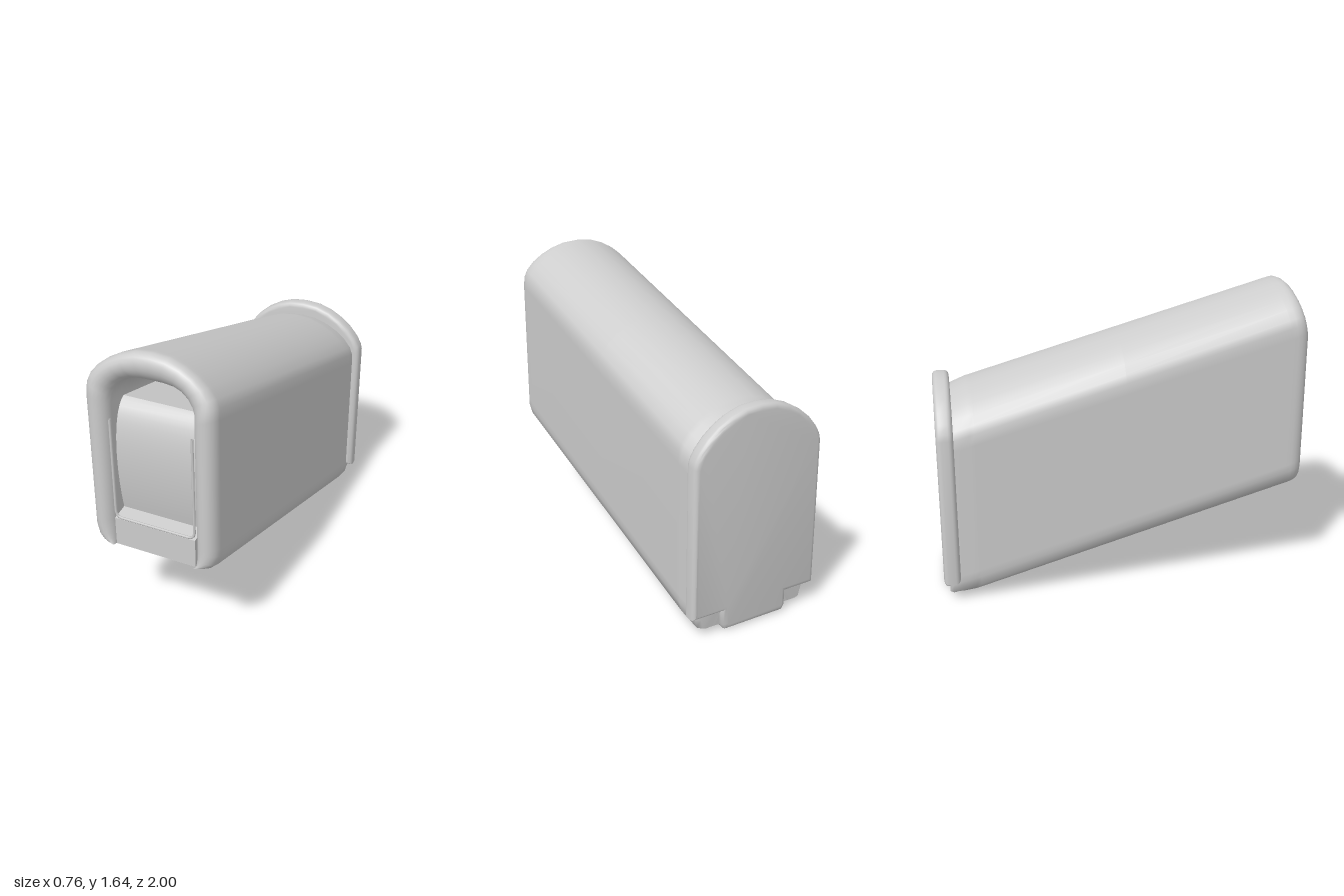
import * as THREE from 'three';
import { toCreasedNormals } from 'three/addons/utils/BufferGeometryUtils.js';

const SLOPE = 0.285;

// Skin rows of points; rows run back to front, points run counterclockwise seen from the front
function loft(rows) {
  const n = rows[0].length, index = [];
  for (let i = 0; i < rows.length - 1; i++) {
    for (let j = 0; j < n - 1; j++) {
      const a = i * n + j, b = a + 1, c = a + n, d = c + 1;
      index.push(a, b, c, b, d, c);
    }
  }
  const g = new THREE.BufferGeometry();
  g.setAttribute('position', new THREE.Float32BufferAttribute(rows.flat(2), 3));
  g.setIndex(index);
  g.computeVertexNormals();
  return g;
}

// Full outline from its right half (bottom to top centre)
const mirror = (half) => [...half, ...half.slice(0, -1).reverse().map(([x, y]) => [-x, y])];

export function createModel() {
  const model = new THREE.Group();
  const grey = new THREE.MeshStandardMaterial({ color: 0xcccccc, side: THREE.DoubleSide });
  const add = (name, geometry) => {
    const mesh = new THREE.Mesh(geometry, grey);
    mesh.name = name;
    model.add(mesh);
    return mesh;
  };

  // Outer and inner sections of the shell, before shearing along the slope
  const outer = mirror([[0.23, 0.265], [0.27, 0.267], [0.305, 0.277], [0.335, 0.305], [0.35, 0.36],
    [0.35, 0.4], [0.35, 1.12], [0.347, 1.18], [0.33, 1.223], [0.29, 1.272], [0.235, 1.316],
    [0.17, 1.352], [0.09, 1.38], [0, 1.388]]);
  const inner = mirror([[0.23, 0.265], [0.23, 0.28], [0.23, 0.3], [0.23, 0.33], [0.23, 0.37],
    [0.23, 0.41], [0.23, 1.08], [0.227, 1.12], [0.215, 1.155], [0.19, 1.19], [0.155, 1.217],
    [0.11, 1.233], [0.05, 1.238], [0, 1.238]]);
  const section = (z, t) => outer.map(([x, y], i) => {
    const [u, v] = inner[i];
    const lean = z > 0.8 ? Math.max(0, (y - 1.12) / 0.268) * 0.04 : 0;
    const zz = z - lean;
    return [x + (u - x) * t, Math.max(0.03, y + (v - y) * t + SLOPE * zz), zz];
  });

  // Shell: closed back, long sheared walls, rounded lip, then the inner wall
  const capRow = (n) => Array.from({ length: n }, () => [0, 0.5, -0.97]);
  const backRows = [[-0.97, 0.3], [-0.95, 0.1], [-0.9, 0.06], [-0.825, 0], [-0.8, 0], [0, 0], [0.9, 0]];
  const lipRows = [];
  for (let k = 0; k <= 10; k++) {
    const a = (k / 10) * Math.PI;
    lipRows.push([0.93 + 0.07 * Math.sin(a), (1 - Math.cos(a)) / 2]);
  }
  const innerRows = [[0.85, 1], [0.79, 1], [0.45, 1]];
  add('shell', loft([capRow(outer.length),
    ...[...backRows, ...lipRows, ...innerRows].map(([z, t]) => section(z, t))]));

  // Flat sloping underside between the side walls
  const underside = (z) => {
    const y = Math.max(0.03, 0.265 + SLOPE * z);
    return [[-0.23, y, z], [0.23, y, z]];
  };
  add('underside', loft([capRow(2), ...[-0.97, -0.95, -0.9, -0.825, 0, 0.97].map(underside)]));

  // Wall closing the far end of the cavity
  const wall = new THREE.Shape(inner.map(([x, y]) => new THREE.Vector2(x, y + SLOPE * 0.45)));
  add('cavityWall', new THREE.ShapeGeometry(wall)).position.z = 0.45;

  // Front sill and curved inner panel, extruded across the width
  const side = new THREE.Shape();
  side.moveTo(0.45, 0.395);
  side.lineTo(0.97, 0.543);
  side.lineTo(0.97, 0.7);
  side.lineTo(0.88, 0.715);
  side.bezierCurveTo(0.93, 0.95, 0.94, 1.28, 0.82, 1.33);
  side.lineTo(0.45, 1.25);
  const core = new THREE.ExtrudeGeometry(side, { depth: 0.456, bevelEnabled: false, curveSegments: 14 });
  core.translate(0, 0, -0.228);
  core.rotateY(-Math.PI / 2);
  add('innerPanel', toCreasedNormals(core, 0.6));

  // Thin rim around the panel
  const rimPath = new THREE.CurvePath();
  const V = (x, y) => new THREE.Vector3(x, y, 0.965);
  rimPath.add(new THREE.LineCurve3(V(-0.223, 1.27), V(-0.223, 0.745)));
  rimPath.add(new THREE.QuadraticBezierCurve3(V(-0.223, 0.745), V(-0.223, 0.706), V(-0.185, 0.706)));
  rimPath.add(new THREE.LineCurve3(V(-0.185, 0.706), V(0.185, 0.706)));
  rimPath.add(new THREE.QuadraticBezierCurve3(V(0.185, 0.706), V(0.223, 0.706), V(0.223, 0.745)));
  rimPath.add(new THREE.LineCurve3(V(0.223, 0.745), V(0.223, 1.27)));
  add('panelRim', new THREE.TubeGeometry(rimPath, 90, 0.007, 6, false));

  // Back plate with arched top and a tab below
  const plateOutline = mirror([[0.18, 0], [0.2, 0.03], [0.2, 0.11], [0.378, 0.11], [0.378, 0.93],
    [0.37, 0.965], [0.345, 1.01], [0.3, 1.065], [0.24, 1.115], [0.17, 1.155], [0.09, 1.182], [0, 1.19]]);
  const plate = new THREE.ExtrudeGeometry(
    new THREE.Shape(plateOutline.map(([x, y]) => new THREE.Vector2(x, y))),
    { depth: 0.036, bevelThickness: 0.027, bevelSize: 0.027, bevelOffset: -0.027, bevelSegments: 4 });
  plate.translate(0, 0, -0.973);
  add('backPlate', toCreasedNormals(plate, 0.7));

  return model;
}
